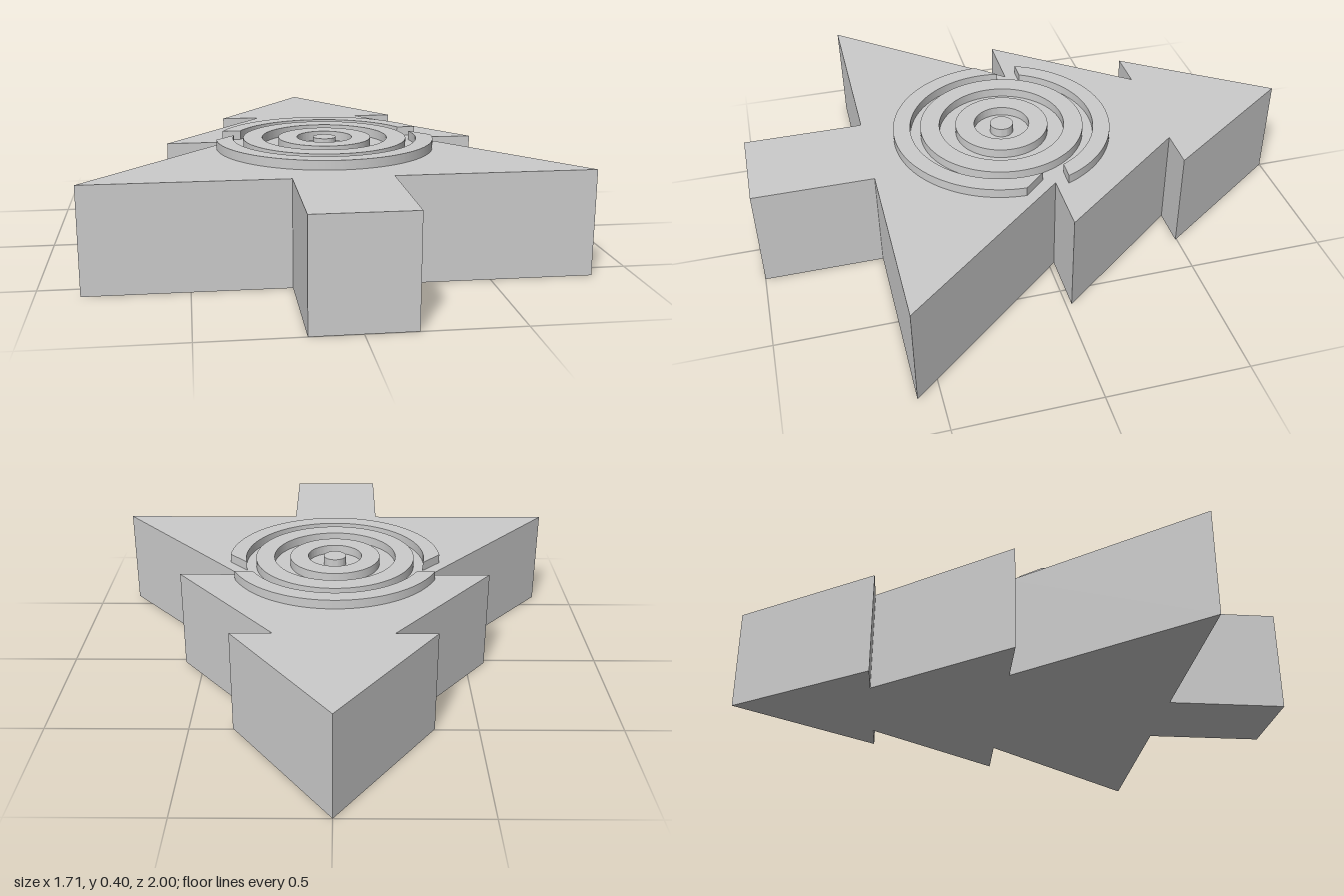
import * as THREE from 'three';
import { toCreasedNormals } from 'three/addons/utils/BufferGeometryUtils.js';

const BODY_H = 0.37, TOP = 0.403, CENTER_Z = 0.083;

export function createModel() {
  const model = new THREE.Group();
  model.name = 'treeOrnament';
  const grey = new THREE.MeshStandardMaterial({ color: 0xcccccc });
  grey.name = 'plain grey';

  // Extrudes a plan shape (shape y = -z) upward from a base height
  const addSlab = (name, shape, base, height, z = 0) => {
    const geo = new THREE.ExtrudeGeometry(shape, { depth: height, bevelEnabled: false, curveSegments: 72 });
    geo.rotateX(-Math.PI / 2);
    const mesh = new THREE.Mesh(toCreasedNormals(geo, 0.5), grey);
    mesh.name = name;
    mesh.position.set(0, base, z);
    model.add(mesh);
  };
  const addRelief = (name, shape) => addSlab(name, shape, BODY_H, TOP - BODY_H, CENTER_Z);

  // Tree body: right half of the outline, mirrored
  const half = [[0.348, -0.495], [0.203, -0.495], [0.572, -0.02], [0.352, -0.02],
    [0.853, 0.577], [0.167, 0.577], [0.167, 1]];
  const outline = [[0, -1], ...half, ...half.map(([x, z]) => [-x, z]).reverse()];
  addSlab('treeBody', new THREE.Shape(outline.map(([x, z]) => new THREE.Vector2(x, -z))), 0, BODY_H);

  // Central peg and the closed concentric rings
  const disc = (r) => new THREE.Shape().absarc(0, 0, r, 0, Math.PI * 2, false);
  addRelief('centerPeg', disc(0.042));
  [['innerRing', 0.1, 0.168], ['middleRing', 0.227, 0.296]].forEach(([name, rIn, rOut]) => {
    const ring = disc(rOut);
    ring.holes.push(new THREE.Path().absarc(0, 0, rIn, 0, Math.PI * 2, true));
    addRelief(name, ring);
  });

  // Outer ring, cut into two arcs at the side notches
  const R_IN = 0.333, R_OUT = 0.394;
  const arc = (outA, outB, inB, inA) => {
    const s = new THREE.Shape();
    s.absarc(0, 0, R_OUT, outA, outB, false);
    s.absarc(0, 0, R_IN, inB, inA, true);
    s.closePath();
    return s;
  };
  addRelief('outerArcBack', arc(0.38, Math.PI - 0.38, Math.PI - 0.455, 0.455));
  addRelief('outerArcFront', arc(Math.PI + 0.025, Math.PI * 2 - 0.025, Math.PI * 2 + 0.195, Math.PI - 0.195));

  return model;
}
